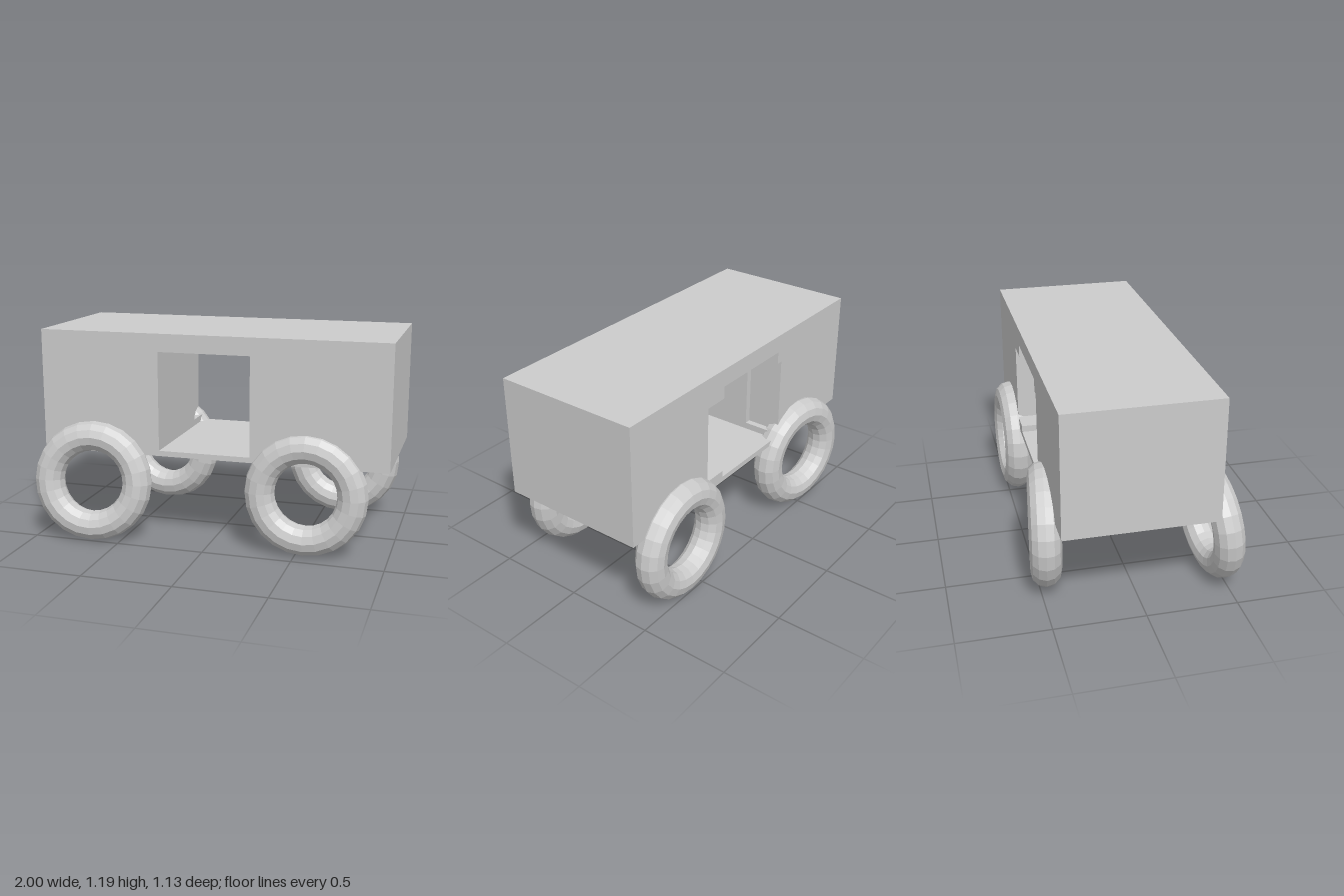
import * as THREE from 'three';

const material = new THREE.MeshStandardMaterial({ color: 0xcccccc, flatShading: true });

// A slab of the body between two depths, pierced by an opening
function slab(name, zBack, zFront, opening) {
  const shape = new THREE.Shape([[-0.97, 0.505], [1, 0.505], [1, 1.19], [-0.97, 1.19]]
    .map(([x, y]) => new THREE.Vector2(x, y)));
  shape.holes.push(new THREE.Path(opening.map(([x, y]) => new THREE.Vector2(x, y))));
  const geometry = new THREE.ExtrudeGeometry(shape, { depth: zFront - zBack, bevelEnabled: false });
  const mesh = new THREE.Mesh(geometry, material);
  mesh.name = name;
  mesh.position.z = zBack;
  return mesh;
}

// A ring wheel with a slight lean (about x) and turn (about y)
function wheel(name, x, z, lean, turn) {
  const mesh = new THREE.Mesh(new THREE.TorusGeometry(0.257, 0.084, 12, 24), material);
  mesh.name = name;
  mesh.position.set(x, 0.345, z);
  mesh.rotation.set(lean, turn, 0);
  return mesh;
}

export function createModel() {
  const group = new THREE.Group();
  group.name = 'wagon';

  // Body: doorway right through, with a wider recess cut in from the back
  const L = -0.28, R = 0.24, B = 0.535, T = 1.09;
  const l = -0.317, r = 0.38, b = 0.573, t = 1.02;
  const body = new THREE.Group();
  body.name = 'body';
  body.add(
    slab('frontBody', -0.24, 0.395, [[L, B], [L, T], [R, T], [R, B]]),
    slab('backBody', -0.44, -0.24, [
      [L, B], [L, b], [l, b], [l, t], [L, t], [L, T],
      [R, T], [R, t], [r, t], [r, b], [R, b], [R, B],
    ]),
  );
  group.add(body);

  // Four loosely set wheels
  group.add(
    wheel('frontRightWheel', -0.66, 0.443, -0.1, 0.087),
    wheel('frontLeftWheel', 0.55, 0.377, -0.03, 0),
    wheel('backRightWheel', -0.522, -0.45, 0, -0.135),
    wheel('backLeftWheel', 0.618, -0.448, 0, 0),
  );
  return group;
}
